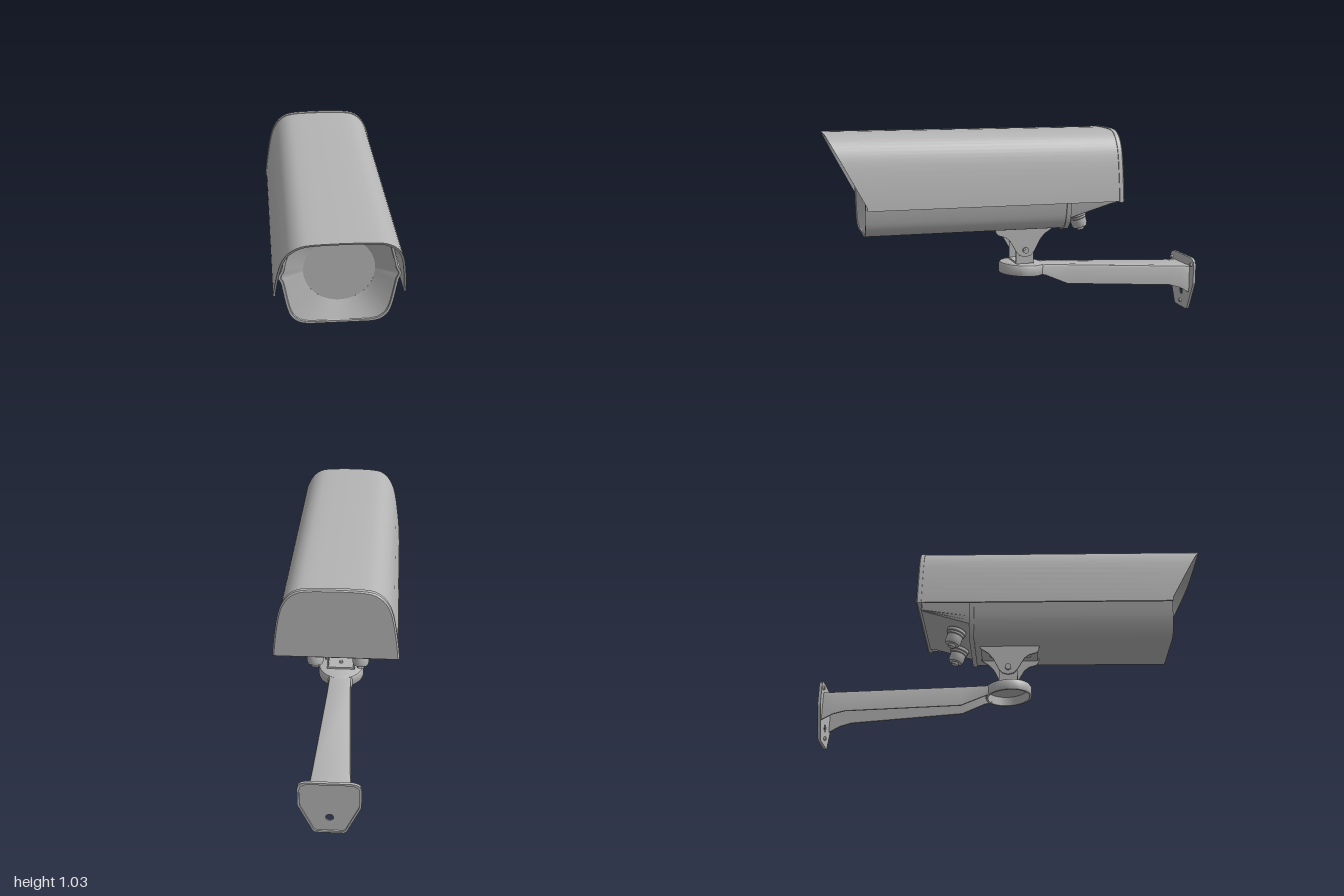
import * as THREE from 'three';
import { toCreasedNormals } from 'three/addons/utils/BufferGeometryUtils.js';

const grey = new THREE.MeshStandardMaterial({ color: 0xb4b4b4, side: THREE.DoubleSide });
grey.name = 'satin grey';

const CY = 0.77; // height of the lens axis

export function createModel() {
  const root = new THREE.Group();
  root.name = 'securityCamera';

  const add = (name, geometry, parent = root, x = 0, y = 0, z = 0) => {
    const mesh = new THREE.Mesh(geometry, grey);
    mesh.name = name;
    mesh.position.set(x, y, z);
    parent.add(mesh);
    return mesh;
  };

  // Skins a list of equal-length closed loops, ordered front to back
  const loft = (sections, crease = 0.6) => {
    const n = sections[0].length, index = [];
    for (let i = 0; i < sections.length - 1; i++) {
      for (let j = 0; j < n; j++) {
        const k = (j + 1) % n;
        const a = i * n + j, b = i * n + k, c = b + n, d = a + n;
        index.push(a, d, b, b, d, c);
      }
    }
    const g = new THREE.BufferGeometry();
    g.setAttribute('position', new THREE.Float32BufferAttribute(sections.flat(2), 3));
    g.setIndex(index);
    return toCreasedNormals(g, crease);
  };

  // Smooth curve through half-profile points
  const smooth = (pts, count) =>
    new THREE.CatmullRomCurve3(pts.map(([x, y]) => new THREE.Vector3(x, y, 0)))
      .getPoints(count).map((p) => [p.x, p.y]);
  const mirrored = (pts) => pts.map(([x, y]) => [-x, y]).reverse();
  const lathe = (pts, seg = 32) => toCreasedNormals(
    new THREE.LatheGeometry(pts.map(([r, y]) => new THREE.Vector2(r, y)), seg), 0.6);
  const outline = (pts) => new THREE.Shape(pts.map(([x, y]) => new THREE.Vector2(x, y)));
  const plate = (shape, depth) =>
    new THREE.ExtrudeGeometry(shape, { depth, bevelEnabled: false, curveSegments: 16 });
  // Plate lying in the z-y plane, centred on x
  const sidePlate = (pts, depth) =>
    plate(outline(pts), depth).rotateY(-Math.PI / 2).translate(depth / 2, 0, 0);

  // Housing: recessed face, side seams, rear flange and sloping underside
  const half = smooth([[0, 0.515], [0.08, 0.515], [0.15, 0.516], [0.19, 0.527], [0.222, 0.557],
    [0.24, 0.605], [0.258, 0.70], [0.266, 0.74], [0.277, 0.765], [0.263, 0.795], [0.25, 0.85],
    [0.227, 0.93], [0.205, 0.973], [0.165, 0.994], [0.08, 0.998], [0, 0.999]], 44);
  const section = half.concat(mirrored(half).slice(1, -1));
  const ring = (z, s = 1, floor = 0) =>
    section.map(([x, y]) => [x * s, Math.max(CY + (y - CY) * s, floor), z]);
  const lensR = 0.163, lensZ = 0.77;
  const lensRing = section.map(([x, y]) => {
    const l = Math.hypot(x, y - CY);
    return [x / l * lensR, CY + (y - CY) / l * lensR, lensZ];
  });
  add('faceRecess', loft([lensRing, ring(0.815, 0.95)], 1));
  add('housing', loft([ring(0.815, 0.95), ring(0.82, 0.96), ring(0.82), ring(-0.21),
    ring(-0.21, 1.025), ring(-0.235, 1.025), ring(-0.235, 0.98, 0.575), ring(-0.485, 0.98, 0.652)]));
  add('lens', new THREE.CircleGeometry(lensR, 64), root, 0, CY, lensZ);

  // Sun hood with a raked front edge
  const hoodHalf = smooth([[0.302, 0.665], [0.297, 0.72], [0.285, 0.81], [0.268, 0.90], [0.25, 0.95],
    [0.22, 0.992], [0.18, 1.018], [0.13, 1.027], [0.06, 1.03], [0, 1.031]], 24);
  const hoodOuter = hoodHalf.concat(mirrored(hoodHalf).slice(1));
  const hoodInner = hoodOuter.map(([x, y]) => [x * 0.965, 0.665 + (y - 0.665) * 0.972]);
  const hoodLoop = hoodOuter.concat([...hoodInner].reverse());
  const edgeLoop = hoodInner.concat([...hoodInner].reverse());
  const rake = (y) => 0.815 + 0.185 * Math.max(0, (y - 0.68) / 0.351);
  add('hood', loft([
    edgeLoop.map(([x, y]) => [x, y, rake(y)]),
    hoodLoop.map(([x, y]) => [x, y, rake(y)]),
    hoodLoop.map(([x, y]) => [x, y, -0.49]),
  ]));

  // Rear cap with a rounded back edge
  const capRing = (z, s) => hoodOuter.map(([x, y]) => [x * s, 0.85 + (y - 0.85) * s, z]);
  add('rearCap', loft([capRing(-0.478, 0.97), capRing(-0.478, 1.018), capRing(-0.498, 1.018),
    capRing(-0.505, 0.99), capRing(-0.506, 0)]));

  // Cable glands under the sloping rear
  for (const s of [-1, 1]) {
    const gland = add('cableGland', lathe([[0, -0.1], [0.018, -0.1], [0.02, -0.088], [0.036, -0.085],
      [0.042, -0.07], [0.042, -0.038], [0.046, -0.034], [0.046, -0.024], [0.052, -0.02],
      [0.052, -0.004], [0.04, 0], [0.04, 0.02]], 24), root, s * 0.115, 0.594, -0.305);
    gland.rotation.x = 0.29;
  }

  // Tilt bracket: yoke under the housing, inner yoke on the turntable
  add('yokePlate', new THREE.BoxGeometry(0.17, 0.012, 0.3), root, 0, 0.508, -0.03);
  add('yokeBase', new THREE.BoxGeometry(0.15, 0.01, 0.1), root, 0, 0.322, -0.035);
  const yokeSide = [[0.13, 0.514], [0.125, 0.49], [0.11, 0.475], [0.075, 0.465], [0.05, 0.445],
    [0.015, 0.385], [-0.005, 0.362], [-0.035, 0.354], [-0.065, 0.362], [-0.085, 0.385],
    [-0.115, 0.445], [-0.14, 0.475], [-0.185, 0.505], [-0.185, 0.514]];
  const innerSide = [[0.013, 0.32], [0.013, 0.41], [0, 0.437], [-0.035, 0.45],
    [-0.07, 0.437], [-0.083, 0.41], [-0.083, 0.32]];
  for (const s of [-1, 1]) {
    add('yokeSide', sidePlate(yokeSide, 0.009), root, s * 0.081, 0, 0);
    add('innerYokeSide', sidePlate(innerSide, 0.009), root, s * 0.071, 0, 0);
    const bolt = (name, r, length, x, sides) => add(name,
      new THREE.CylinderGeometry(r, r, length, sides).rotateZ(Math.PI / 2), root, s * x, 0.392, -0.035);
    bolt('pivotBolt', 0.008, 0.045, 0.078, 12);
    bolt('pivotHead', 0.016, 0.012, 0.094, 16);
    bolt('pivotNut', 0.016, 0.01, 0.061, 6);
  }
  for (const z of [0.07, -0.12]) {
    add('yokeScrew', new THREE.CylinderGeometry(0.016, 0.016, 0.012, 6), root, 0, 0.497, z);
  }
  add('turntableBolt', new THREE.CylinderGeometry(0.01, 0.01, 0.02, 12), root, 0, 0.327, -0.035);

  // Turntable, hollow underneath
  const turntable = add('turntable', lathe([[0, 0.016], [0.106, 0.016], [0.11, -0.03], [0.12, -0.03],
    [0.122, -0.026], [0.122, 0.016], [0.117, 0.026], [0.108, 0.03], [0, 0.03]], 48),
    root, 0, 0.285, -0.035);
  turntable.rotation.x = -0.06;

  // Wall arm: inverted channel, open below
  const channel = (z, w, top, bottom, t = 0.009) => [
    [w, bottom], [w, top - 0.014], [w - 0.004, top - 0.004], [w - 0.014, top],
    [-w + 0.014, top], [-w + 0.004, top - 0.004], [-w, top - 0.014], [-w, bottom],
    [-w + t, bottom], [-w + t, top - 0.014], [-w + t, top - t], [-w + 0.014, top - t],
    [w - 0.014, top - t], [w - t, top - t], [w - t, top - 0.014], [w - t, bottom],
  ].map(([x, y]) => [x, y, z]);
  add('wallArm', loft([channel(-0.125, 0.068, 0.304, 0.252), channel(-0.16, 0.06, 0.304, 0.242),
    channel(-0.28, 0.064, 0.297, 0.19), channel(-0.87, 0.094, 0.262, 0.152),
    channel(-0.93, 0.098, 0.258, 0.135), channel(-0.988, 0.1, 0.255, 0.102)], 0.7));

  // Wall plate with bolt hole and a rim on its back
  const wallHalf = [[0.068, 0], [0.08, 0.008], [0.148, 0.16], [0.15, 0.17], [0.15, 0.265],
    [0.145, 0.285], [0.13, 0.297], [0.11, 0.303]];
  const wallPts = wallHalf.concat(mirrored(wallHalf));
  const wall = outline(wallPts);
  wall.holes.push(new THREE.Path().absarc(0, 0.09, 0.019, 0, Math.PI * 2, true));
  add('wallPlate', plate(wall, 0.006), root, 0, 0, -0.992);
  const rim = outline(wallPts);
  rim.holes.push(outline(wallPts.map(([x, y]) => [x * 0.93, 0.15 + (y - 0.15) * 0.93])));
  add('wallPlateRim', plate(rim, 0.01), root, 0, 0, -1);
  for (const [x, y] of [[0, 0.035], [-0.124, 0.265], [0.124, 0.265]]) {
    add('wallScrew', new THREE.CylinderGeometry(0.01, 0.01, 0.014, 12).rotateX(Math.PI / 2),
      root, x, y, -0.983);
  }

  return root;
}
